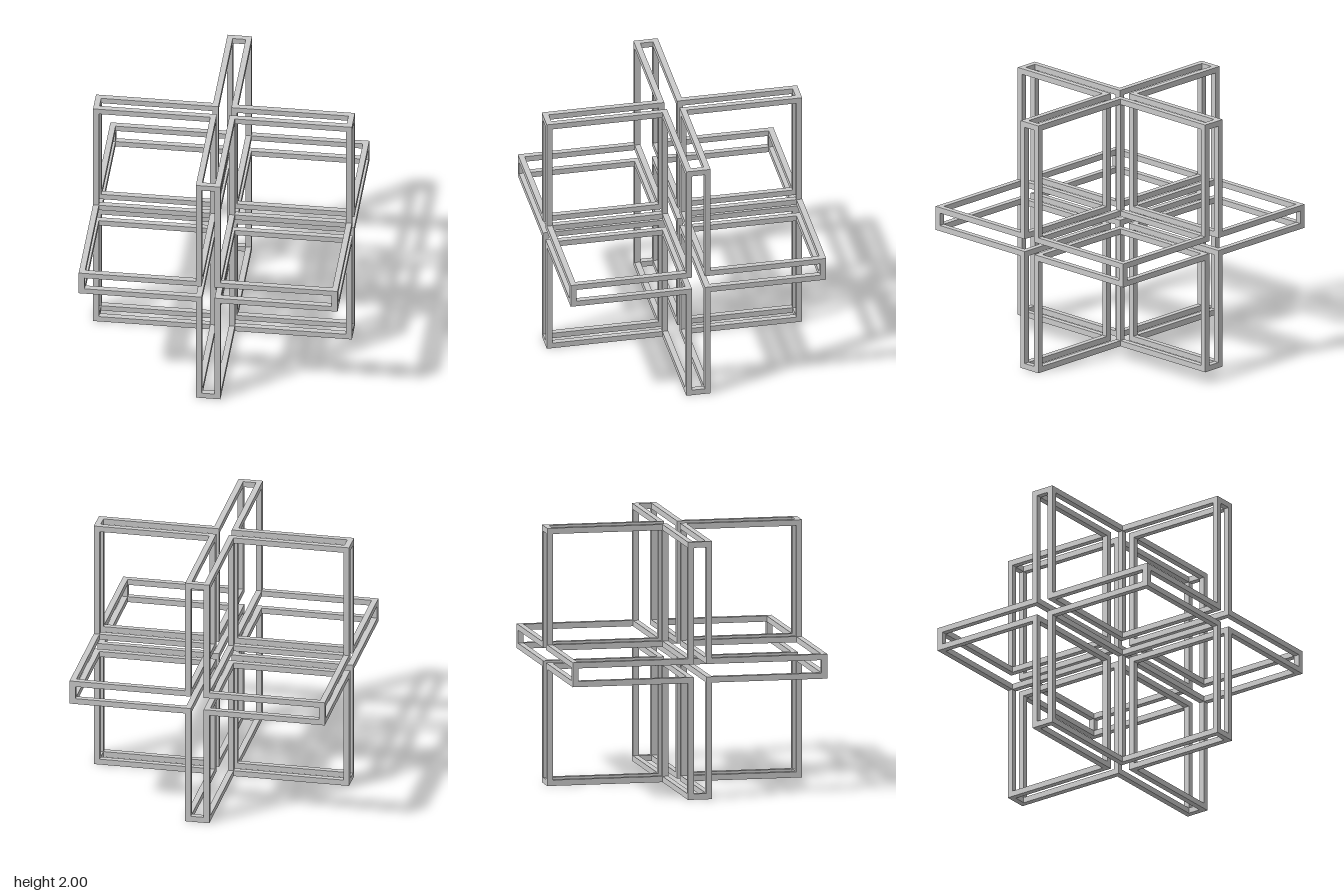
import * as THREE from 'three';

const INNER = 0.05;   // half the gap between neighbouring frames
const BAR = 0.045;    // bar thickness
const OUTER = 1;      // reach of the frames from the centre
const NEAR = [INNER, INNER + BAR];
const FAR = [OUTER - BAR, OUTER];
const SPAN = [INNER + BAR, OUTER - BAR];

export function createModel() {
  const model = new THREE.Group();
  model.name = 'squareFrameLattice';
  const material = new THREE.MeshStandardMaterial({ color: 0xcccccc, flatShading: true });

  // Box from [min, max] ranges on x, y, z, mirrored by the given signs
  function addBar(parent, name, ranges, signs) {
    const size = ranges.map(([a, b]) => b - a);
    const mid = ranges.map(([a, b], i) => (signs[i] * (a + b)) / 2);
    const bar = new THREE.Mesh(new THREE.BoxGeometry(...size), material);
    bar.position.set(...mid);
    bar.name = name;
    parent.add(bar);
  }

  // Eight octants, each with three squares meeting along shared inner bars
  for (const sx of [1, -1]) for (const sy of [1, -1]) for (const sz of [1, -1]) {
    const signs = [sx, sy, sz];
    const octant = new THREE.Group();
    octant.name = 'cornerFrames';
    for (let axis = 0; axis < 3; axis++) {
      // Inner bar along the axis; the x bar also fills the shared corner
      const inner = [NEAR, NEAR, NEAR];
      inner[axis] = [axis === 0 ? INNER : INNER + BAR, OUTER];
      addBar(octant, 'innerBar', inner, signs);

      // Outer bars along the axis, one in each of the two squares using it
      for (const other of [(axis + 1) % 3, (axis + 2) % 3]) {
        const outer = [NEAR, NEAR, NEAR];
        outer[axis] = SPAN;
        outer[other] = FAR;
        addBar(octant, 'outerBar', outer, signs);
      }
    }
    model.add(octant);
  }

  // Connectors joining paired squares at their outermost corners
  const connectors = new THREE.Group();
  connectors.name = 'cornerConnectors';
  for (let axis = 0; axis < 3; axis++) {
    for (const s of [1, -1]) for (const t of [1, -1]) {
      const ranges = [FAR, FAR, FAR];
      ranges[axis] = [-INNER - BAR, INNER + BAR];
      const signs = [1, 1, 1];
      signs[(axis + 1) % 3] = s;
      signs[(axis + 2) % 3] = t;
      addBar(connectors, 'cornerConnector', ranges, signs);
    }
  }
  model.add(connectors);

  model.position.y = OUTER;
  return model;
}
